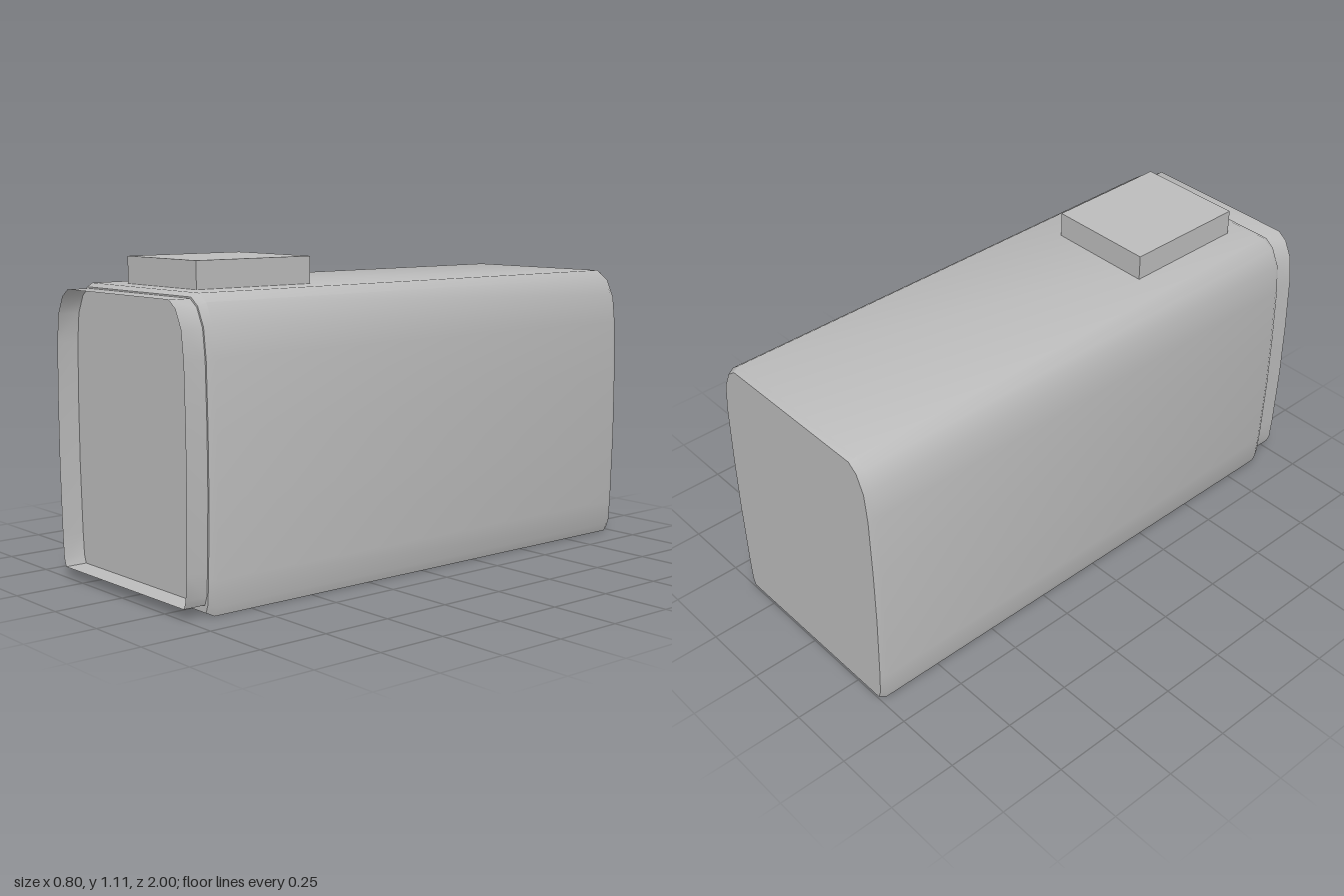
import * as THREE from 'three';
import { toCreasedNormals } from 'three/addons/utils/BufferGeometryUtils.js';

// Right half of the housing cross-section, from the bottom up
const half = [
  [0.375, 0], [0.386, 0.03], [0.392, 0.12], [0.4, 0.38], [0.4, 0.6],
  [0.395, 0.82], [0.383, 0.925], [0.352, 0.99], [0.315, 1.017],
];
const section = [...half, ...half.slice().reverse().map(([x, y]) => [-x, y])];

// Lofts the section through rings of [z, width scale, bottom, top]
function loft(rings, capped) {
  const n = section.length;
  const pos = [];
  const index = [];
  for (const [z, sx, y0, y1] of rings) {
    for (const [x, y] of section) pos.push(x * sx, y0 + (y / 1.017) * (y1 - y0), z);
  }
  for (let r = 0; r < rings.length - 1; r++) {
    for (let i = 0; i < n; i++) {
      const a = r * n + i;
      const b = r * n + ((i + 1) % n);
      index.push(a, a + n, b, b, a + n, b + n);
    }
  }
  if (capped) {
    const last = (rings.length - 1) * n;
    for (let i = 1; i < n - 1; i++) {
      index.push(0, i, i + 1);
      index.push(last, last + i + 1, last + i);
    }
  }
  const g = new THREE.BufferGeometry();
  g.setAttribute('position', new THREE.Float32BufferAttribute(pos, 3));
  g.setIndex(index);
  return toCreasedNormals(g, 0.72);
}

export function createModel() {
  const model = new THREE.Group();
  model.name = 'boxHousing';
  const grey = new THREE.MeshStandardMaterial({ color: 0xbbbbbb, side: THREE.DoubleSide });
  grey.name = 'grey';

  const add = (name, geometry) => {
    const mesh = new THREE.Mesh(geometry, grey);
    mesh.name = name;
    model.add(mesh);
    return mesh;
  };

  // Long closed housing with bevelled ends
  add('housing', loft([
    [0.92, 0.97, 0.012, 1.005],
    [0.895, 1, 0, 1.017],
    [-0.975, 1, 0, 1.017],
    [-1, 0.975, 0.01, 1.006],
  ], true));

  // Thin open rim around the front panel
  add('frontRim', loft([
    [1, 0.955, 0.037, 1],
    [0.92, 0.955, 0.037, 1],
  ], false));

  // Raised block on the roof
  add('topBlock', new THREE.BoxGeometry(0.4, 0.11, 0.465)).position.set(0, 1.055, 0.593);

  return model;
}
